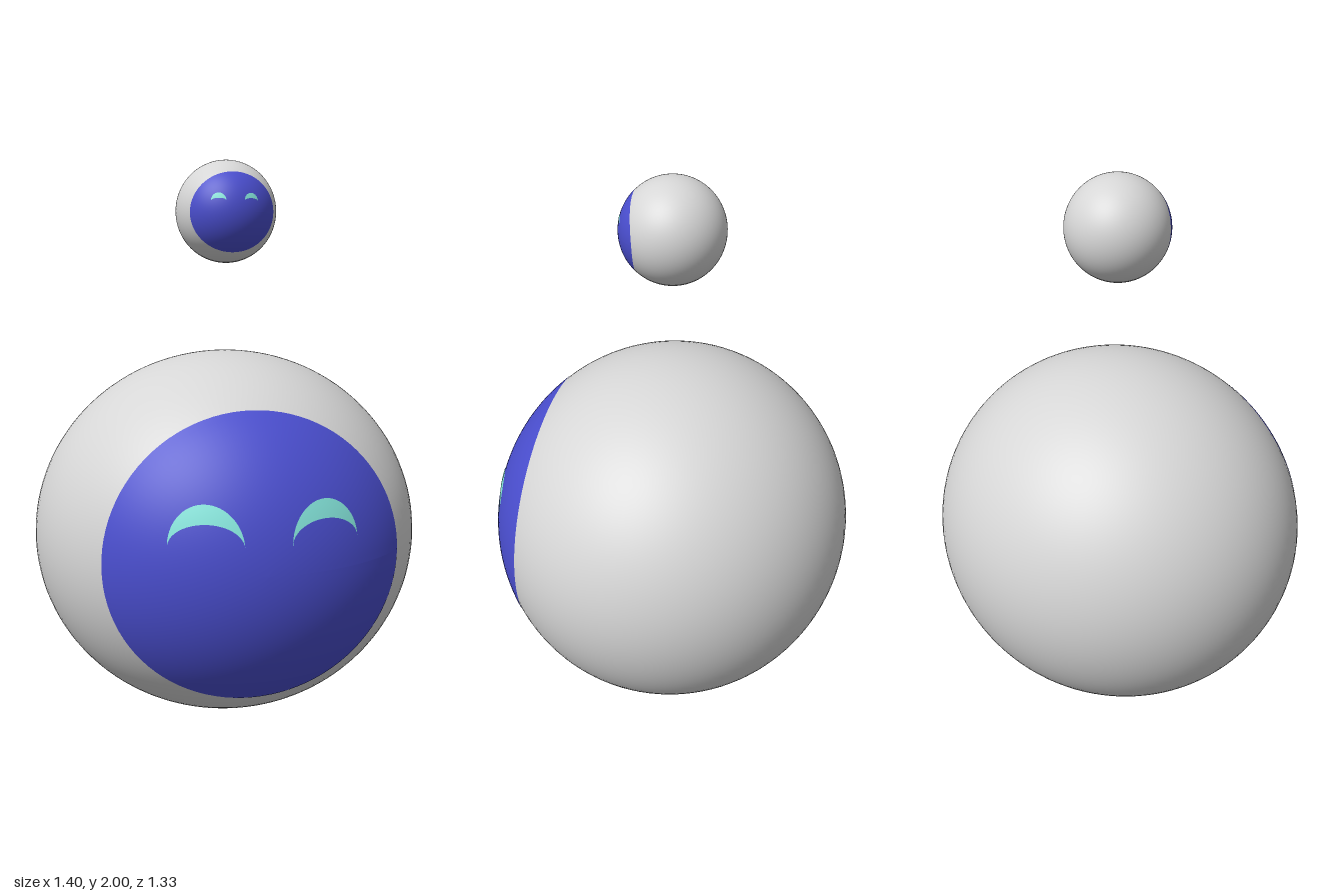
import * as THREE from 'three';

const shellMat = new THREE.MeshStandardMaterial({ color: 0xd6d6d6 });
shellMat.name = 'shellGrey';
const faceMat = new THREE.MeshStandardMaterial({ color: 0x4a4ecf });
faceMat.name = 'faceBlue';
const eyeMat = new THREE.MeshStandardMaterial({ color: 0x86e8de });
eyeMat.name = 'eyeTurquoise';

// Lay a flat patch on the front of an ellipsoid; rule maps (u, v) to (x, y)
function wrap(geometry, radii, lift, rule) {
  const p = geometry.attributes.position;
  for (let i = 0; i < p.count; i++) {
    const [x, y] = rule(p.getX(i), p.getY(i));
    const d = 1 - (x / radii.x) ** 2 - (y / radii.y) ** 2;
    p.setXYZ(i, x, y, radii.z * (1 + lift) * Math.sqrt(Math.max(d, 0)));
  }
  geometry.computeVertexNormals();
  return geometry;
}

function named(name, geometry, material) {
  const mesh = new THREE.Mesh(geometry, material);
  mesh.name = name;
  return mesh;
}

// A ball with a round face panel and two smiling crescent eyes
function createBall(name, radii, face, eyes) {
  const ball = new THREE.Group();
  ball.name = name;
  const shell = new THREE.SphereGeometry(1, 96, 64).scale(radii.x, radii.y, radii.z);
  ball.add(named(name + 'Shell', shell, shellMat));

  const panel = wrap(new THREE.RingGeometry(0, 1, 96, 24), radii, 0.004,
    (u, v) => [u * face.rx, face.y + v * face.ry]);
  ball.add(named(name + 'Face', panel, faceMat));

  // Crescent between a tall outer arc and a lower inner arc
  for (const [side, x] of [['right', eyes.xRight], ['left', eyes.xLeft]]) {
    const crescent = wrap(new THREE.PlaneGeometry(1, 1, 32, 4), radii, 0.008, (u, v) => {
      const a = Math.PI * (0.5 - u);
      const height = THREE.MathUtils.lerp(eyes.inner, eyes.outer, v + 0.5);
      return [x + eyes.half * Math.cos(a), eyes.y + height * Math.sin(a)];
    });
    ball.add(named(`${name}${side === 'left' ? 'Left' : 'Right'}Eye`, crescent, eyeMat));
  }
  return ball;
}

export function createModel() {
  const model = new THREE.Group();
  model.name = 'floatingBalls';

  const body = createBall('body', new THREE.Vector3(0.7, 0.663, 0.663),
    { rx: 0.505, ry: 0.493, y: 0.013 },
    { xRight: -0.193, xLeft: 0.197, y: 0.105, half: 0.118, outer: 0.135, inner: 0.075 });
  body.position.y = 0.665;

  const head = createBall('head', new THREE.Vector3(0.179, 0.179, 0.179),
    { rx: 0.148, ry: 0.136, y: -0.006 },
    { xRight: -0.06, xLeft: 0.053, y: 0.03, half: 0.025, outer: 0.027, inner: 0.009 });
  head.position.set(0.004, 1.821, 0);

  model.add(body, head);
  return model;
}
